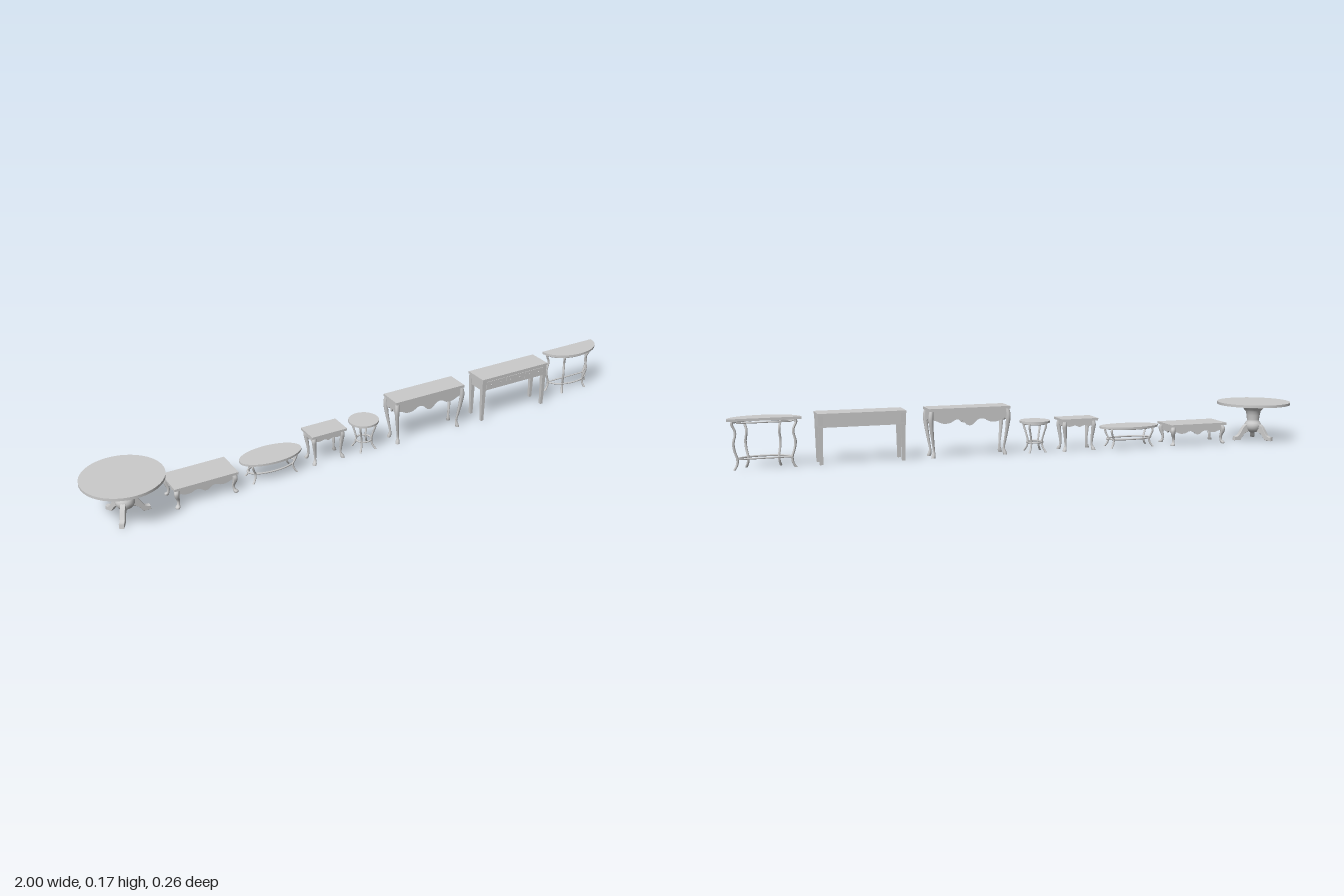
import * as THREE from 'three';

const material = new THREE.MeshStandardMaterial({ color: 0xcccccc });
const faceted = new THREE.MeshStandardMaterial({ color: 0xcccccc, flatShading: true });
const V = (x, y, z) => new THREE.Vector3(x, y, z);

function add(parent, name, geometry, x = 0, y = 0, z = 0, mat = material) {
  const mesh = new THREE.Mesh(geometry, mat);
  mesh.name = name;
  mesh.position.set(x, y, z);
  parent.add(mesh);
  return mesh;
}

function table(root, name, x, z) {
  const g = new THREE.Group();
  g.name = name;
  g.position.set(x, 0, z);
  root.add(g);
  return g;
}

const box = (p, name, w, h, d, x, y, z) => add(p, name, new THREE.BoxGeometry(w, h, d), x, y, z);

// Leg with stations [outward offset, height, radius], listed from top to floor
function leg(parent, name, stations, x, z, angle, sides = 8) {
  const curve = new THREE.CatmullRomCurve3(stations.map(s => V(...s)));
  const geo = new THREE.CylinderGeometry(1, 1, 1, sides, 20);
  const pos = geo.attributes.position;
  for (let i = 0; i < pos.count; i++) {
    const s = curve.getPoint(0.5 - pos.getY(i));
    pos.setXYZ(i, s.x + pos.getX(i) * s.z, s.y, pos.getZ(i) * s.z);
  }
  geo.computeVertexNormals();
  add(parent, name, geo, x, 0, z).rotation.y = -angle;
}

// Four legs mirrored about the centre, each bowing along its own angle
function fourLegs(parent, name, stations, x, z, spread = Math.PI / 4) {
  for (const sx of [-1, 1]) for (const sz of [-1, 1])
    leg(parent, name, stations, sx * x, sz * z,
      Math.atan2(sz * Math.sin(spread), sx * Math.cos(spread)));
}

// Scalloped board: straight top edge, wavy lower edge with a deep centre
function wavyBoard(w, h, dip) {
  const s = new THREE.Shape();
  const a = w / 2;
  s.moveTo(-a, 0);
  s.lineTo(-a, -h);
  s.bezierCurveTo(-a * 0.8, -h, -a * 0.8, -h - dip * 0.6, -a * 0.62, -h - dip * 0.6);
  s.bezierCurveTo(-a * 0.42, -h - dip * 0.6, -a * 0.45, -h, -a * 0.3, -h);
  s.bezierCurveTo(-a * 0.15, -h, -a * 0.12, -h - dip, 0, -h - dip);
  s.bezierCurveTo(a * 0.12, -h - dip, a * 0.15, -h, a * 0.3, -h);
  s.bezierCurveTo(a * 0.45, -h, a * 0.42, -h - dip * 0.6, a * 0.62, -h - dip * 0.6);
  s.bezierCurveTo(a * 0.8, -h - dip * 0.6, a * 0.8, -h, a, -h);
  s.lineTo(a, 0);
  const geo = new THREE.ExtrudeGeometry(s, { depth: 0.005, bevelEnabled: false, curveSegments: 8 });
  return geo.translate(0, 0, -0.0025);
}

// Four apron boards around an open underside
function apron(parent, w, d, top, h, dip) {
  for (const s of [-1, 1]) {
    add(parent, 'apronLong', wavyBoard(w, h, dip), 0, top, s * (d / 2 - 0.0025));
    add(parent, 'apronShort', wavyBoard(d - 0.01, h, dip * 0.6), s * (w / 2 - 0.0025), top, 0)
      .rotation.y = Math.PI / 2;
  }
}

// Flat elliptical top, its upper face at the given height
function ovalTop(parent, rx, rz, y, h) {
  add(parent, 'top', new THREE.CylinderGeometry(1, 1, h, 64).scale(rx, 1, rz), 0, y - h / 2, 0);
}

const tube = (pts, r, closed = false) => new THREE.TubeGeometry(
  new THREE.CatmullRomCurve3(pts, closed), 48, r, 8, closed);

function ring(parent, name, rx, rz, y, r) {
  const pts = [];
  for (let i = 0; i < 24; i++) {
    const a = i / 24 * Math.PI * 2;
    pts.push(V(rx * Math.cos(a), y, rz * Math.sin(a)));
  }
  add(parent, name, tube(pts, r, true));
}

function pedestalTable(root) {
  const g = table(root, 'pedestalTable', -0.869, 0);
  ovalTop(g, 0.131, 0.131, 0.139, 0.009);
  const profile = [[0, 0.027], [0.014, 0.027], [0.024, 0.033], [0.03, 0.043], [0.031, 0.054],
    [0.027, 0.062], [0.022, 0.068], [0.022, 0.074], [0.024, 0.09], [0.027, 0.104], [0.033, 0.11],
    [0.036, 0.116], [0.042, 0.121], [0.042, 0.131], [0, 0.131]];
  add(g, 'pedestal', new THREE.LatheGeometry(profile.map(p => new THREE.Vector2(...p)), 32));
  // Three scrolled feet, cut from a flat outline
  const s = new THREE.Shape();
  s.moveTo(0.015, 0.058);
  s.bezierCurveTo(0.042, 0.062, 0.048, 0.035, 0.06, 0.019);
  s.quadraticCurveTo(0.067, 0.013, 0.077, 0.014);
  s.lineTo(0.079, 0);
  s.lineTo(0.055, 0);
  s.bezierCurveTo(0.043, 0.012, 0.042, 0.028, 0.015, 0.03);
  const foot = new THREE.ExtrudeGeometry(s, {
    depth: 0.012, bevelEnabled: true, bevelSize: 0.001, bevelThickness: 0.002, bevelOffset: -0.001, bevelSegments: 2 });
  foot.translate(0, 0, -0.006);
  for (let i = 0; i < 3; i++) add(g, 'foot', foot).rotation.y = i * Math.PI * 2 / 3;
}

function coffeeTable(root) {
  const g = table(root, 'coffeeTable', -0.619, -0.001);
  box(g, 'top', 0.216, 0.008, 0.114, 0, 0.071, 0);
  apron(g, 0.196, 0.094, 0.067, 0.018, 0.013);
  fourLegs(g, 'cabrioleLeg', [[0, 0.067, 0.007], [0.005, 0.055, 0.009], [0.004, 0.042, 0.008],
    [-0.002, 0.024, 0.005], [0, 0.011, 0.005], [0.005, 0.005, 0.008], [0.006, 0, 0.007]], 0.095, 0.044);
}

function ovalTable(root) {
  const g = table(root, 'ovalCoffeeTable', -0.372, 0);
  ovalTop(g, 0.109, 0.057, 0.075, 0.007);
  ring(g, 'topRail', 0.085, 0.043, 0.066, 0.0025);
  ring(g, 'stretcherRing', 0.083, 0.036, 0.03, 0.003);
  fourLegs(g, 'curvedLeg', [[0.006, 0.07, 0.004], [0.009, 0.058, 0.004], [0.003, 0.042, 0.0035],
    [-0.003, 0.03, 0.0035], [0, 0.014, 0.0035], [0.01, 0, 0.004]], 0.07, 0.026, 0.5);
}

function endTable(root) {
  const g = table(root, 'endTable', -0.17, -0.006);
  box(g, 'top', 0.131, 0.008, 0.082, 0, 0.108, 0);
  apron(g, 0.114, 0.066, 0.104, 0.016, 0.005);
  fourLegs(g, 'cabrioleLeg', [[0, 0.104, 0.007], [0.003, 0.09, 0.0085], [0.002, 0.076, 0.0075],
    [-0.003, 0.04, 0.005], [-0.003, 0.017, 0.004], [0.002, 0.006, 0.007], [0.004, 0, 0.007]], 0.051, 0.027);
}

function roundTable(root) {
  const g = table(root, 'roundSideTable', -0.021, 0);
  ovalTop(g, 0.052, 0.052, 0.108, 0.007);
  ring(g, 'topRail', 0.039, 0.039, 0.098, 0.003);
  ring(g, 'stretcherRing', 0.027, 0.027, 0.034, 0.003);
  fourLegs(g, 'curvedLeg', [[0.041, 0.103, 0.004], [0.042, 0.09, 0.004], [0.034, 0.065, 0.0035],
    [0.027, 0.037, 0.0035], [0.03, 0.018, 0.0035], [0.042, 0, 0.004]], 0, 0);
}

function cabrioleConsole(root) {
  const g = table(root, 'cabrioleConsole', 0.217, 0.008);
  box(g, 'top', 0.278, 0.009, 0.083, 0, 0.1605, 0);
  apron(g, 0.268, 0.075, 0.156, 0.029, 0.022);
  fourLegs(g, 'cabrioleLeg', [[0, 0.162, 0.007], [0.004, 0.148, 0.008], [0.006, 0.13, 0.0085],
    [0.003, 0.1, 0.007], [-0.005, 0.055, 0.005], [-0.011, 0.022, 0.004], [-0.008, 0.007, 0.007],
    [-0.006, 0, 0.007]], 0.129, 0.033);
}

function drawerConsole(root) {
  const g = table(root, 'drawerConsole', 0.576, 0.0085);
  box(g, 'top', 0.286, 0.008, 0.087, 0, 0.161, 0);
  for (const s of [-1, 1]) {
    box(g, 'apronLong', 0.28, 0.037, 0.006, 0, 0.1385, s * 0.038);
    box(g, 'apronShort', 0.006, 0.037, 0.076, s * 0.137, 0.1385, 0);
    // Straight square legs tapering to the floor
    for (const t of [-1, 1]) {
      const geo = new THREE.CylinderGeometry(0.0115, 0.007, 0.158, 4).rotateY(Math.PI / 4);
      add(g, 'taperedLeg', geo, s * 0.1335, 0.079, t * 0.0335, faceted);
    }
  }
  // Three drawer fronts, each with a pair of knobs
  for (const i of [-1, 0, 1]) {
    box(g, 'drawerFront', 0.079, 0.026, 0.002, i * 0.084, 0.139, 0.0418);
    for (const k of [-1, 1])
      add(g, 'knob', new THREE.SphereGeometry(0.0025, 10, 8), i * 0.084 + k * 0.02, 0.139, 0.0438);
  }
}

function demiluneTable(root) {
  const g = table(root, 'demiluneTable', 0.885, -0.042);
  const s = new THREE.Shape();
  s.absellipse(0, 0, 0.115, 0.082, 0, Math.PI, false);
  s.closePath();
  const geo = new THREE.ExtrudeGeometry(s, { depth: 0.008, bevelEnabled: false, curveSegments: 40 });
  add(g, 'top', geo.rotateX(Math.PI / 2), 0, 0.161, 0);
  // Curved rails follow the rounded front
  const arc = (rx, rz, y) => Array.from({ length: 13 }, (_, i) => {
    const a = i / 12 * Math.PI;
    return V(rx * Math.cos(a), y, 0.008 + rz * Math.sin(a));
  });
  add(g, 'topRail', tube(arc(0.096, 0.06, 0.147), 0.003));
  add(g, 'stretcher', tube(arc(0.085, 0.05, 0.034), 0.003));
  for (const y of [0.147, 0.034])
    add(g, 'backRail', tube([V(-0.085, y, 0.008), V(0.085, y, 0.008)], 0.0025));
  const stations = [[0.008, 0.155, 0.0045], [0.01, 0.143, 0.0045], [0.002, 0.125, 0.004],
    [0.001, 0.11, 0.004], [0.007, 0.085, 0.004], [0.004, 0.06, 0.004], [-0.004, 0.034, 0.004],
    [-0.002, 0.016, 0.004], [0.007, 0, 0.0045]];
  for (const side of [-1, 1]) {
    leg(g, 'backLeg', stations, side * 0.088, 0.008, side > 0 ? 0 : Math.PI);
    leg(g, 'frontLeg', stations, side * 0.05, 0.051, Math.PI / 2 - side * 0.6);
  }
}

export function createModel() {
  const root = new THREE.Group();
  root.name = 'tableCollection';
  for (const build of [pedestalTable, coffeeTable, ovalTable, endTable, roundTable,
    cabrioleConsole, drawerConsole, demiluneTable]) build(root);
  return root;
}
